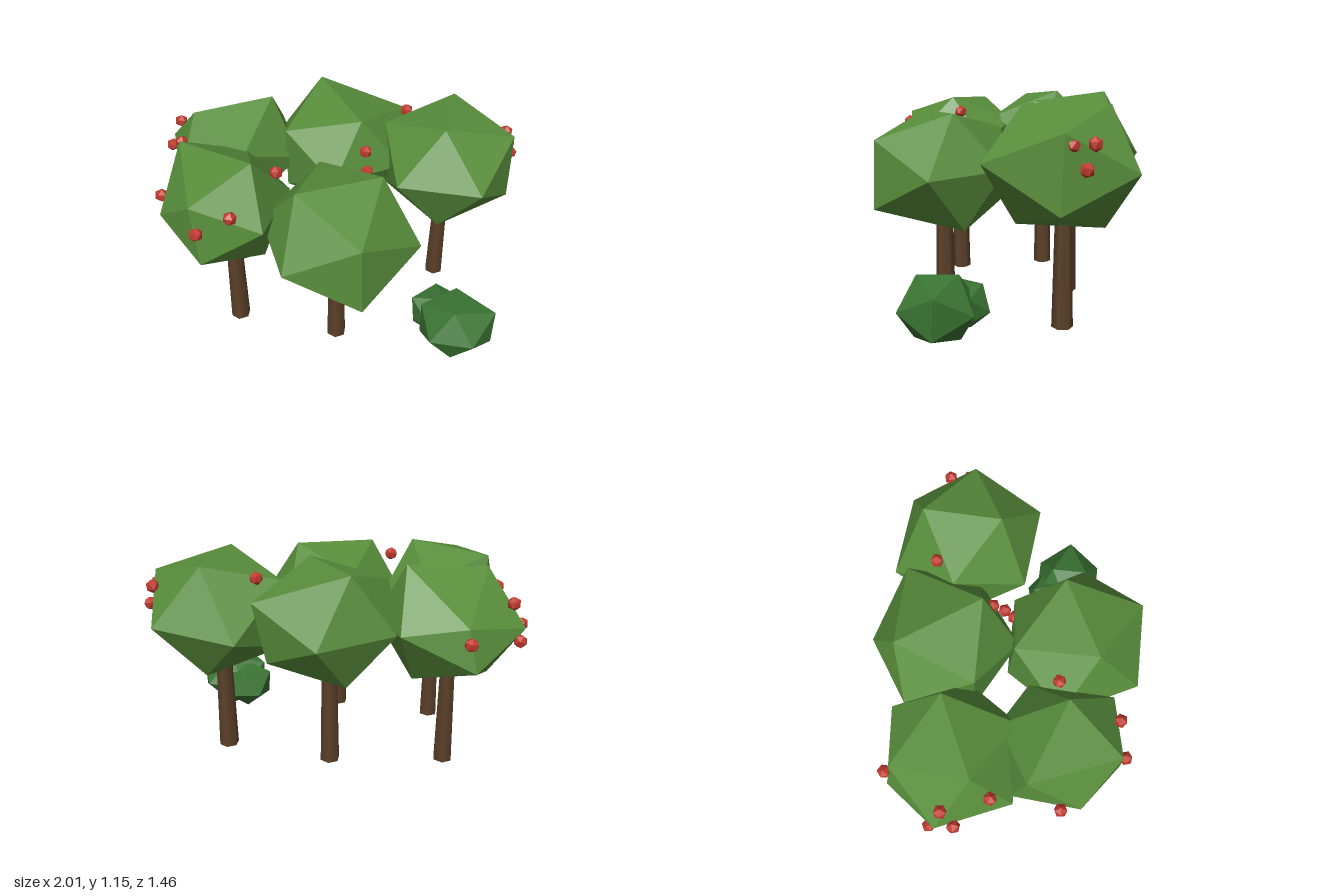
import * as THREE from 'three';

const SQUASH = 0.85;
const mat = (color, flatShading = true) => new THREE.MeshStandardMaterial({ color, flatShading });
const vec = (a) => new THREE.Vector3(...a);

// Squashed icosahedron, turned so that one edge lies between the first two corners;
// the vertex nearest each corner is then pulled onto it for an uneven natural shape
function lump(name, material, { at, r, corners }) {
  const targets = corners.map((c) => vec(c).sub(vec(at)));
  const [u, v] = targets.slice(0, 2).map((t) => t.clone().setY(t.y / SQUASH).normalize());
  const middle = u.clone().add(v).normalize();
  const along = u.clone().sub(v).normalize();
  const turn = new THREE.Matrix4().makeBasis(along, middle, along.clone().cross(middle));
  const geo = new THREE.IcosahedronGeometry(r, 0).applyMatrix4(turn);
  geo.scale(1, SQUASH, 1);

  const pos = geo.attributes.position;
  const points = Array.from({ length: pos.count }, (_, i) => new THREE.Vector3().fromBufferAttribute(pos, i));
  for (const target of targets) {
    const nearest = points.reduce((a, b) => (b.distanceTo(target) < a.distanceTo(target) ? b : a));
    points.forEach((p, i) => {
      if (p.distanceTo(nearest) < 1e-3) pos.setXYZ(i, target.x, target.y, target.z);
    });
  }
  geo.computeVertexNormals();
  const mesh = new THREE.Mesh(geo, material);
  mesh.name = name;
  mesh.position.set(...at);
  return mesh;
}

// Trees: trunk foot, crown shape, and the fruit on it
const trees = [
  { name: 'frontLeft', foot: [-0.515, 0.28],
    crown: { at: [-0.54, 0.825, 0.3], r: 0.375,
      corners: [[-0.6, 0.68, 0.62], [-0.86, 0.81, 0.4], [-0.8, 1.09, 0.12], [-0.22, 0.83, 0.12]] },
    fruit: [[-0.875, 0.86, 0.295], [-0.605, 0.877, 0.62], [-0.435, 0.965, 0.585], [-0.26, 1.035, 0.27]] },
  { name: 'frontCentre', foot: [0.06, 0.36],
    crown: { at: [0.08, 0.75, 0.36], r: 0.435,
      corners: [[0.22, 0.925, 0.72], [0.5, 0.746, 0.42], [0.23, 0.55, 0.73], [0.3, 0.77, 0.03]] },
    fruit: [] },
  { name: 'backLeft', foot: [-0.61, -0.25],
    crown: { at: [-0.61, 0.845, -0.265], r: 0.4,
      corners: [[-0.38, 1.15, -0.31], [-0.79, 1.11, -0.15], [-0.7, 0.92, -0.57], [-0.985, 0.85, -0.33]] },
    fruit: [[-0.92, 0.965, -0.295], [-0.97, 0.837, -0.235], [-0.85, 0.975, -0.055],
      [-0.71, 0.855, -0.6], [-0.96, 0.79, -0.36]] },
  { name: 'backCentre', foot: [0.01, -0.34],
    crown: { at: [0.01, 0.845, -0.345], r: 0.405,
      corners: [[0.14, 1.125, -0.13], [-0.13, 1.16, -0.56], [0.013, 0.824, -0.73], [0.365, 0.995, -0.55]] },
    fruit: [[0.17, 0.97, -0.08], [0.185, 0.88, -0.02], [0.19, 0.78, 0.03]] },
  { name: 'backRight', foot: [0.61, -0.25],
    crown: { at: [0.617, 0.85, -0.245], r: 0.42,
      corners: [[0.59, 1.148, -0.05], [0.64, 1.145, -0.47], [0.8, 0.883, 0.16], [0.435, 0.8, -0.647]] },
    fruit: [[0.375, 1.07, -0.385], [0.975, 0.88, -0.31], [0.94, 0.99, -0.35], [0.945, 0.985, -0.25]] },
];

// Bush of two overlapping lumps
const bushLumps = [
  { at: [0.72, 0.17, 0.365], r: 0.22, corners: [[0.935, 0.28, 0.38], [0.93, 0.07, 0.39], [0.72, 0.335, 0.265]] },
  { at: [0.63, 0.155, 0.26], r: 0.16, corners: [[0.48, 0.24, 0.27], [0.52, 0.13, 0.14]] },
];

export function createModel() {
  const root = new THREE.Group();
  root.name = 'orchard';
  const bark = mat(0x5c4029, false), leaf = mat(0x588d3b), bushLeaf = mat(0x3a7433), red = mat(0xc0392f);
  const trunkGeo = new THREE.CylinderGeometry(0.041, 0.055, 0.68, 6);
  const fruitGeo = new THREE.IcosahedronGeometry(0.037, 0);

  for (const t of trees) {
    const tree = new THREE.Group();
    tree.name = t.name + 'Tree';
    const trunk = new THREE.Mesh(trunkGeo, bark);
    trunk.name = 'trunk';
    trunk.position.set(t.foot[0], 0.36, t.foot[1]);
    tree.add(trunk, lump('crown', leaf, t.crown));
    t.fruit.forEach((p, i) => {
      const fruit = new THREE.Mesh(fruitGeo, red);
      fruit.name = 'fruit';
      fruit.position.set(...p);
      fruit.rotation.set(i, i * 2, 0.4);
      tree.add(fruit);
    });
    root.add(tree);
  }

  const bush = new THREE.Group();
  bush.name = 'bush';
  bushLumps.forEach((b) => bush.add(lump('bushLump', bushLeaf, b)));
  root.add(bush);
  return root;
}
